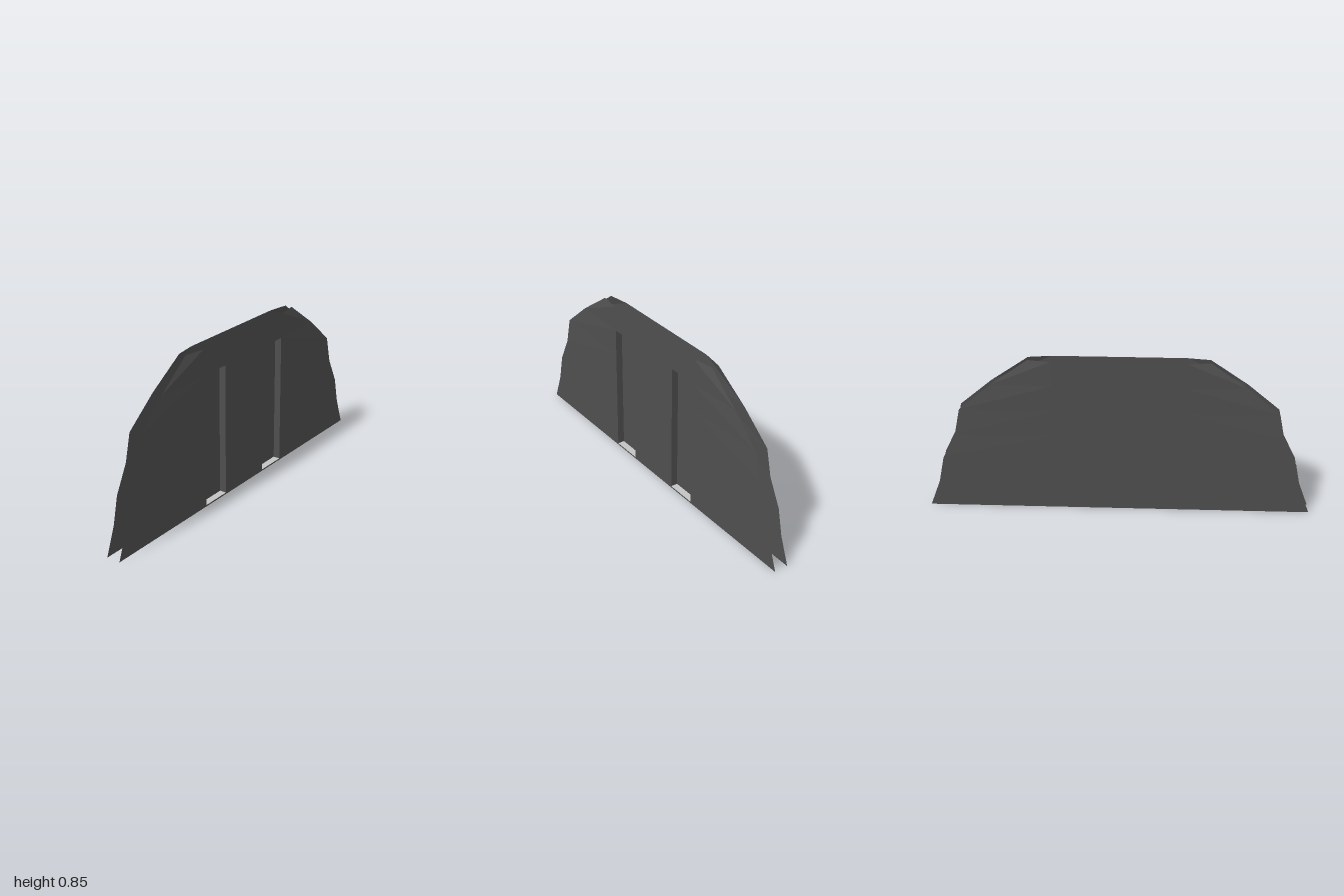
import * as THREE from 'three';

const HALF = 0.037;   // half thickness between the two skins
const FLAT = 0.34;    // half length of the flat middle
const TOP = 0.846;
const DOOR = { z: 0.25, width: 0.167, bottom: 0.007, top: 0.71 };

// Stepped end outline: [z, y, x], leaning inwards towards the top
const OUTLINE = [
  [1.0, 0, 0.037], [0.945, 0.145, 0.037], [0.915, 0.287, 0.036],
  [0.845, 0.428, 0.035], [0.815, 0.57, 0.032], [0.65, 0.71, 0.027], [0.457, TOP, 0.019],
];

const grey = new THREE.MeshStandardMaterial({ color: 0x4f4f4f, side: THREE.DoubleSide });
grey.name = 'dark grey';
const pale = new THREE.MeshStandardMaterial({ color: 0xc4c4c4 });
pale.name = 'pale grey';

function rect(path, x0, x1, y0, y1) {
  path.moveTo(x0, y0);
  path.lineTo(x1, y0);
  path.lineTo(x1, y1);
  path.lineTo(x0, y1);
  path.closePath();
  return path;
}

function named(name, geometry, material) {
  const mesh = new THREE.Mesh(geometry, material);
  mesh.name = name;
  return mesh;
}

// Flat middle of a skin, with optional doorway openings
function middlePanel(side, withDoors) {
  const shape = rect(new THREE.Shape(), -FLAT, FLAT, 0, TOP);
  if (withDoors) {
    for (const s of [-1, 1]) {
      const c = s * DOOR.z, w = DOOR.width / 2;
      shape.holes.push(rect(new THREE.Path(), c - w, c + w, DOOR.bottom, DOOR.top));
    }
  }
  const g = new THREE.ShapeGeometry(shape);
  g.rotateY(side * Math.PI / 2);
  g.translate(side * HALF, 0, 0);
  return g;
}

// Bent end of a skin, lofted from the flat middle to the outline
function endPanel(side, end) {
  const positions = [], index = [];
  OUTLINE.forEach(([z, y, x], i) => {
    positions.push(side * HALF, y, end * FLAT, side * x, y, end * z);
    if (i === 0) return;
    const a = 2 * i - 2, b = a + 1, c = a + 2, d = a + 3;
    if (side * end > 0) index.push(a, c, b, b, c, d);
    else index.push(a, b, c, b, d, c);
  });
  let g = new THREE.BufferGeometry();
  g.setAttribute('position', new THREE.Float32BufferAttribute(positions, 3));
  g.setIndex(index);
  g = g.toNonIndexed();
  g.computeVertexNormals();
  return g;
}

// Doorway niche: a box without its outer face
function niche(z) {
  const group = new THREE.Group();
  group.name = 'doorway';
  const h = DOOR.top - DOOR.bottom;
  const box = new THREE.BoxGeometry(HALF, h, DOOR.width);
  box.setIndex(Array.from(box.index.array).slice(6));
  box.clearGroups();
  box.translate(HALF / 2, DOOR.bottom + h / 2, z);
  group.add(named('doorwayLining', box, grey));

  const floor = new THREE.PlaneGeometry(HALF, DOOR.width);
  floor.rotateX(-Math.PI / 2);
  floor.translate(HALF / 2, DOOR.bottom + 0.001, z);
  group.add(named('doorwayFloor', floor, pale));
  return group;
}

export function createModel() {
  const model = new THREE.Group();
  model.name = 'wallSection';
  for (const side of [1, -1]) {
    const skin = new THREE.Group();
    skin.name = side > 0 ? 'leftSkin' : 'rightSkin';
    skin.add(named('middlePanel', middlePanel(side, side > 0), grey));
    for (const end of [1, -1]) {
      skin.add(named(end > 0 ? 'frontEnd' : 'backEnd', endPanel(side, end), grey));
    }
    model.add(skin);
  }
  for (const s of [1, -1]) model.add(niche(s * DOOR.z));
  return model;
}
